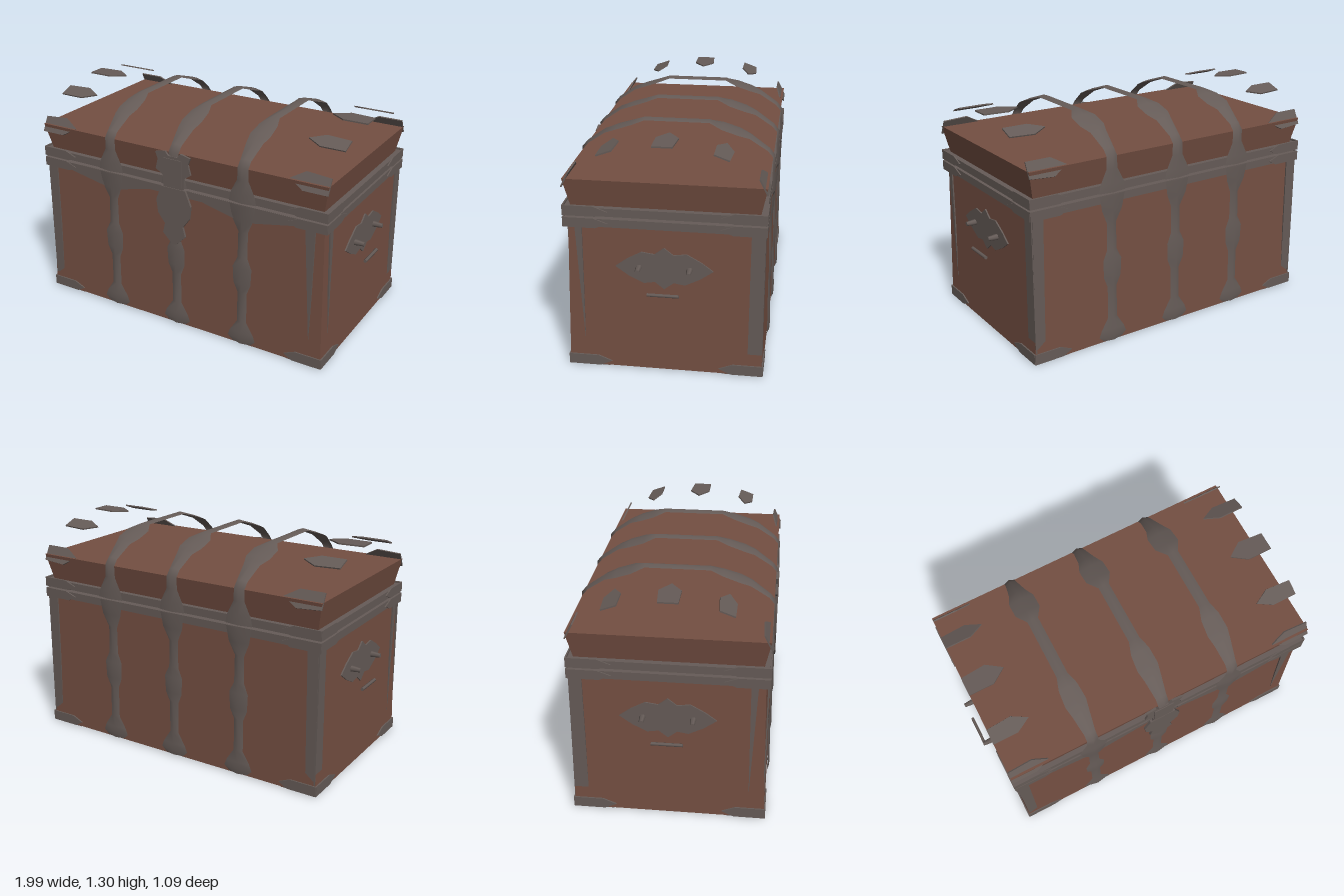
import * as THREE from 'three';

const wood = new THREE.MeshStandardMaterial({ color: 0x744f42 });
wood.name = 'brownWood';
const metal = new THREE.MeshStandardMaterial({ color: 0x655b57, side: THREE.DoubleSide });
metal.name = 'darkIron';

export function createModel() {
  const chest = new THREE.Group();
  chest.name = 'chest';

  const add = (name, geo, mat, x = 0, y = 0, z = 0) => {
    const m = new THREE.Mesh(geo, mat);
    m.name = name;
    m.position.set(x, y, z);
    chest.add(m);
    return m;
  };

  // box with different insets at its bottom and top
  const taperedBox = (y0, y1, inBottom, inTop) => {
    const g = new THREE.BoxGeometry(1.87, y1 - y0, 1.06);
    const p = g.attributes.position;
    for (let i = 0; i < p.count; i++) {
      const d = p.getY(i) > 0 ? inTop : inBottom;
      p.setX(i, p.getX(i) - Math.sign(p.getX(i)) * d);
      p.setZ(i, p.getZ(i) - Math.sign(p.getZ(i)) * d);
    }
    g.translate(0, (y0 + y1) / 2, 0);
    g.computeVertexNormals();
    return g;
  };

  // thin flat plate from an outline, centred on its own thickness
  const plate = (name, pts, x, y, z, thick = 0.008) => {
    const shape = new THREE.Shape(pts.map(([a, b]) => new THREE.Vector2(a, b)));
    const g = new THREE.ExtrudeGeometry(shape, { depth: thick, bevelEnabled: false });
    g.translate(0, 0, -thick / 2);
    return add(name, g, metal, x, y, z);
  };
  const sidePlate = (name, pts, x) => {
    const m = plate(name, pts.map(([z, y]) => [-z, y]), x, 0, 0);
    m.rotation.y = Math.PI / 2;
    return m;
  };

  // ridged ribbon along a path of [z, y, halfWidth]
  const strap = (name, path, x) => {
    const pos = [], idx = [];
    path.forEach(([z, y, w], i) => {
      const a = path[Math.max(i - 1, 0)], b = path[Math.min(i + 1, path.length - 1)];
      const dz = b[0] - a[0], dy = b[1] - a[1], len = Math.hypot(dz, dy);
      let nz = dy / len, ny = -dz / len;
      if (nz * z + ny * (y - 0.5) < 0) { nz = -nz; ny = -ny; }
      const r = 0.012;
      pos.push(-w, y, z, 0, y + ny * r, z + nz * r, w, y, z);
      if (i) for (let k = 0; k < 2; k++) {
        const p = (i - 1) * 3 + k;
        idx.push(p, p + 1, p + 4, p, p + 4, p + 3);
      }
    });
    const g = new THREE.BufferGeometry();
    g.setAttribute('position', new THREE.Float32BufferAttribute(pos, 3));
    g.setIndex(idx);
    g.computeVertexNormals();
    return add(name, g, metal, x);
  };

  // wooden body and lid
  add('body', taperedBox(0.006, 0.86, 0, 0.02), wood);
  add('lid', taperedBox(0.93, 1.1, 0.035, 0), wood);

  // iron rims with a narrow gap between body and lid
  add('bodyRim', new THREE.BoxGeometry(1.87, 0.045, 1.055), metal, 0, 0.863, 0);
  add('lidRim', new THREE.BoxGeometry(1.87, 0.045, 1.055), metal, 0, 0.923, 0);

  // three straps: front, back and arched over the lid
  const bodyPath = [[0.53, 0.01, 0.06], [0.533, 0.04, 0.09], [0.533, 0.08, 0.075], [0.53, 0.15, 0.03],
    [0.527, 0.34, 0.03], [0.53, 0.4, 0.055], [0.53, 0.5, 0.06], [0.525, 0.56, 0.032],
    [0.522, 0.72, 0.03], [0.53, 0.8, 0.065], [0.533, 0.885, 0.08]];
  const lidFront = [[0.533, 0.9, 0.085], [0.533, 0.95, 0.075], [0.53, 1.03, 0.035], [0.53, 1.1, 0.033],
    [0.5, 1.135, 0.033], [0.4, 1.205, 0.05], [0.34, 1.228, 0.062], [0.25, 1.257, 0.055], [0.18, 1.28, 0.032]];
  const lidBack = lidFront.map(([z, y, w]) => [-z, y, w > 0.05 && y > 1.2 ? 0.074 : w]).reverse();
  for (const x of [-0.445, -0.005, 0.435]) {
    strap('frontStrap', bodyPath, x);
    strap('backStrap', bodyPath.map(([z, y, w]) => [-z, y, w]), x);
    strap('lidStrap', [...lidFront, ...lidBack], x);
  }

  // pointed corner plates around the rims and feet
  for (const sx of [-1, 1]) for (const sz of [-1, 1]) {
    for (const [name, y0, y1] of [['footPlate', 0.005, 0.065], ['bodyRimCorner', 0.835, 0.889], ['lidRimCorner', 0.9, 0.956]]) {
      const m = (y0 + y1) / 2;
      plate(name, [[0.94, y0], [0.76, y0], [0.71, m], [0.78, y1], [0.94, y1]].map(([x, y]) => [sx * x, y]),
        0, 0, sz * 0.532);
      sidePlate(name, [[0.532, y0], [0.36, y0], [0.295, m], [0.37, y1], [0.532, y1]].map(([z, y]) => [sz * z, y]),
        sx * 0.938);
    }
    const gusset = plate('footGusset', [[0.93, 0.525], [0.72, 0.525], [0.93, 0.31]].map(([x, z]) => [sx * x, -sz * z]), 0, 0.004, 0);
    gusset.rotation.x = -Math.PI / 2;

    // upright corner irons: broad at the back, slivers at the front
    const broad = sz < 0;
    sidePlate('cornerIron', broad
      ? [[-0.53, 0.07], [-0.45, 0.12], [-0.455, 0.86], [-0.525, 0.86]]
      : [[0.44, 0.15], [0.475, 0.86], [0.435, 0.86]], sx * 0.928);
    plate('cornerIron', (broad || sx < 0
      ? [[0.93, 0.08], [0.87, 0.13], [0.86, 0.86], [0.925, 0.86]]
      : [[0.855, 0.15], [0.87, 0.86], [0.81, 0.86]]).map(([x, y]) => [sx * x, y]), 0, 0, sz * 0.524);
  }

  // pointed plates following the arch at each lid end
  for (const sx of [-1, 1]) {
    for (const [z, y, tilt, h] of [[0, 1.294, 0, 0.06], [0.3, 1.25, 0.35, 0.048], [-0.3, 1.25, -0.35, 0.048],
      [0.512, 1.1, 1.1, 0.052], [-0.512, 1.1, -1.1, 0.052]]) {
      const p = plate('lidEndPlate', [[0.935, -h], [0.79, -h], [0.705, 0], [0.79, h], [0.935, h * 0.8]]
        .map(([x, v]) => [sx * x, v]), 0, y, z);
      p.rotation.x = -Math.PI / 2 + tilt;
    }
  }

  // sagging brackets below the front rim
  for (const s of [-1, 1]) {
    plate('rimBracket', [[0.93, 0.875], [0.44, 0.78], [0.1, 0.86], [0.1, 0.885], [0.93, 0.885]]
      .map(([x, y]) => [s * x, y]), 0, 0, 0.527);
  }

  // lock plate and hasp
  const mirrored = (half) => [...half, ...half.slice().reverse().map(([x, y]) => [-x, y])];
  plate('lockPlate', mirrored([[0.015, 0.54], [0.075, 0.6], [0.06, 0.66], [0.105, 0.72], [0.115, 0.8],
    [0.08, 0.89]]), -0.005, 0, 0.54, 0.014);
  plate('hasp', mirrored([[0.065, 0.89], [0.07, 0.96], [0.115, 0.99], [0.1, 1.05], [0.115, 1.09],
    [0.05, 1.105], [0.03, 1.08]]), -0.005, 0, 0.537, 0.012);
  add('haspBlock', new THREE.BoxGeometry(0.12, 0.16, 0.02), metal, -0.005, 0.985, 0.538);

  // side handles: backing plate, two posts and a bar
  const backing = mirrored([[0, 0.5], [0.05, 0.54], [0.11, 0.53], [0.19, 0.57], [0.26, 0.62], [0.2, 0.665],
    [0.12, 0.71], [0.05, 0.7], [0, 0.74]]);
  for (const sx of [-1, 1]) {
    sidePlate('handlePlate', backing, sx * 0.932);
    for (const sz of [-1, 1]) {
      const post = add('handlePost', new THREE.CylinderGeometry(0.012, 0.018, 0.06, 6), metal, sx * 0.962, 0.62, sz * 0.135);
      post.rotation.z = -sx * Math.PI / 2;
    }
    const bar = add('handleBar', new THREE.CylinderGeometry(0.01, 0.01, 0.17, 6), metal, sx * 0.985, 0.487, 0);
    bar.rotation.x = Math.PI / 2;
  }

  return chest;
}
